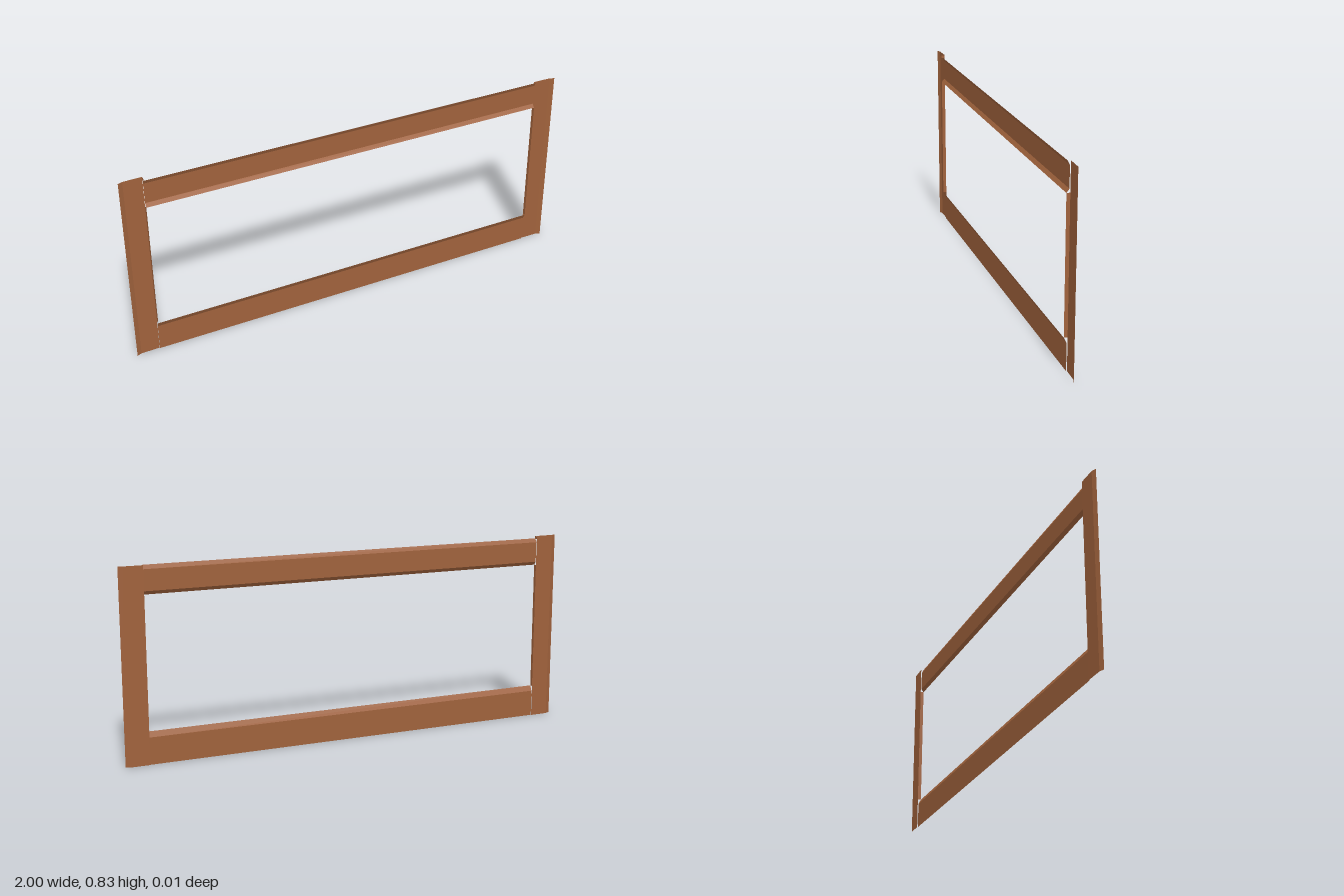
import * as THREE from 'three';

const wood = new THREE.MeshStandardMaterial({ color: 0xa0623c, side: THREE.DoubleSide });
wood.name = 'brown wood';

// Thin folded sheet: profile points [across, z] swept from start to end.
// Rails run along x (across = y), stiles run along y (across = x).
function foldedSheet(name, profile, start, end, alongX) {
  const at = ([a, z], t) => (alongX ? [t, a, z] : [a, t, z]);
  const positions = [];
  for (let i = 0; i < profile.length - 1; i++) {
    const p = at(profile[i], start), q = at(profile[i], end);
    const r = at(profile[i + 1], end), s = at(profile[i + 1], start);
    positions.push(...p, ...q, ...r, ...p, ...r, ...s);
  }
  const geometry = new THREE.BufferGeometry();
  geometry.setAttribute('position', new THREE.Float32BufferAttribute(positions, 3));
  // Make every face front point towards +z or sideways consistently
  geometry.computeVertexNormals();
  const mesh = new THREE.Mesh(geometry, wood);
  mesh.name = name;
  return mesh;
}

export function createModel() {
  const frame = new THREE.Group();
  frame.name = 'rectangularFrame';

  // Horizontal rails with lips folded forward
  frame.add(
    foldedSheet('topRail', [[0.82, 0.004], [0.803, -0.004], [0.715, -0.004], [0.70, 0.0075]], -0.9, 0.9, true),
    foldedSheet('bottomRail', [[0.138, 0.0075], [0.115, -0.004], [0, -0.004]], -0.9, 0.9, true),
  );

  // Upright stiles, the one on the model's right slightly taller
  for (const [side, label, height] of [[-1, 'right', 0.832], [1, 'left', 0.82]]) {
    frame.add(
      foldedSheet(label + 'Stile',
        [[side, 0.002], [side * 0.98, -0.006], [side * 0.9, -0.0075]], 0, height, false),
      // Inner reveal facing the opening
      foldedSheet(label + 'Reveal',
        [[side * 0.9, -0.0075], [side * 0.9, 0.0075]], 0.138, 0.70, false),
    );
  }

  // Raised inner edge at the head of the taller stile
  frame.add(foldedSheet('rightStileHead', [[-0.9, -0.0075], [-0.9, 0.0075]], 0.818, 0.83, false));
  return frame;
}
